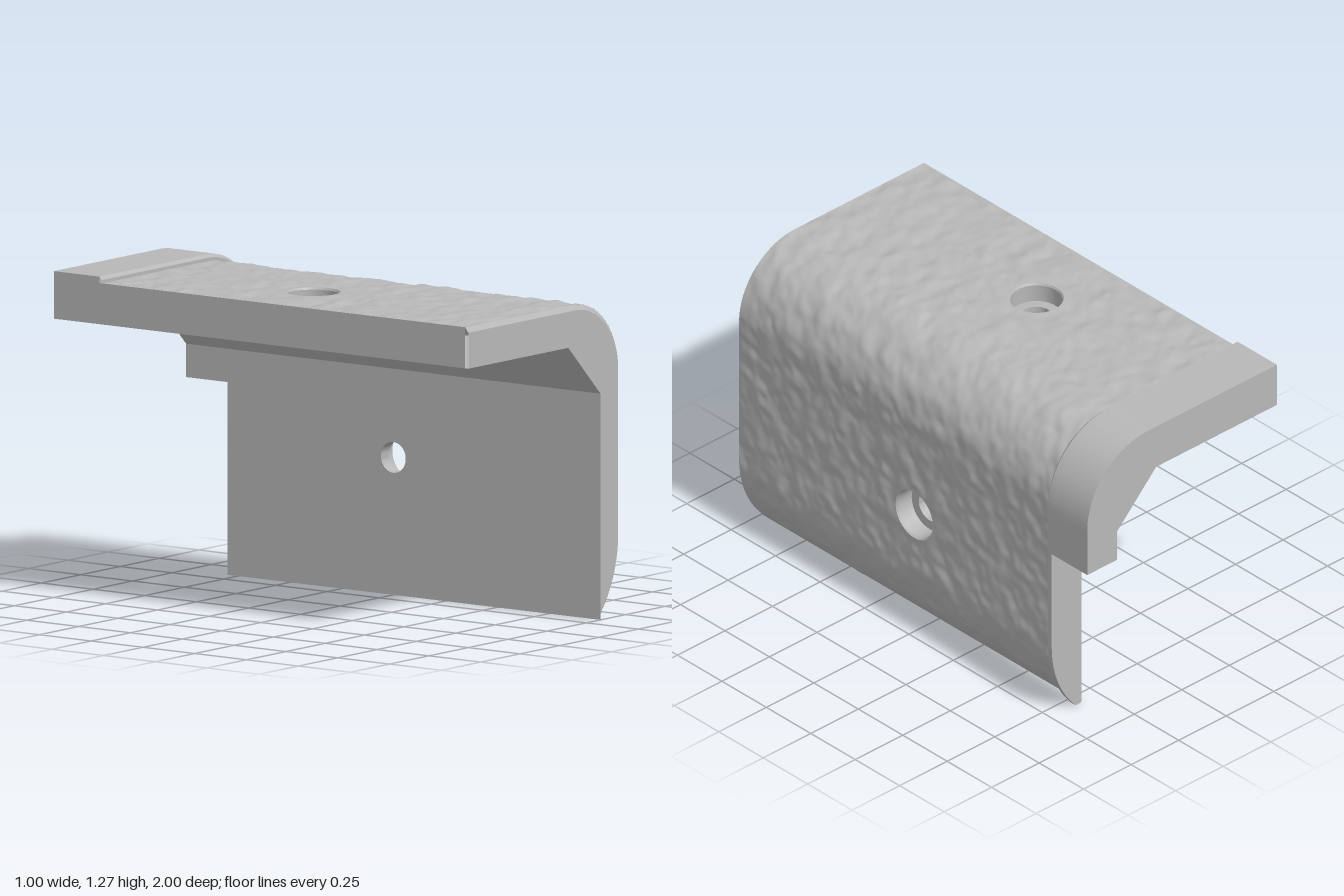
import * as THREE from 'three';
import { toCreasedNormals } from 'three/addons/utils/BufferGeometryUtils.js';

const grey = new THREE.MeshStandardMaterial({ color: 0xb8b8b8, side: THREE.DoubleSide });
grey.name = 'grey';

// Outer outline: top flat, round corner, side flat, curved lower edge
const R1 = 0.317, R2 = 0.472, SKIN = 0.025, EDGE = 0.045;
const TOP = 0.68, CORNER = (R1 - SKIN) * Math.PI / 2, SIDE = 0.633;
const FOOT = (R2 - SKIN) * Math.asin(0.32 / (R2 - SKIN));
const S1 = TOP, S2 = S1 + CORNER, S3 = S2 + SIDE, S4 = S3 + FOOT;

// Point and normal at distance s along the outline, moved inward by off
function outline(s, off) {
  if (s <= S1) return { x: -0.5 + s, y: 0.953 + R1 - off, nx: 0, ny: 1 };
  if (s <= S2) {
    const a = Math.PI / 2 * (1 - (s - S1) / CORNER), c = Math.cos(a), n = Math.sin(a);
    return { x: 0.18 + (R1 - off) * c, y: 0.953 + (R1 - off) * n, nx: c, ny: n };
  }
  if (s <= S3) return { x: 0.18 + R1 - off, y: 0.953 - (s - S2), nx: 1, ny: 0 };
  const r = R2 - off, a = (s - S3) / FOOT * Math.asin(0.32 / r);
  return { x: Math.max(0.34, 0.025 + r * Math.cos(a)), y: Math.max(0, 0.32 - r * Math.sin(a)),
    nx: Math.cos(a), ny: -Math.sin(a) };
}

// Evenly divided values that keep every break point
function ticks(breaks, step) {
  const out = [breaks[0]];
  for (let i = 1; i < breaks.length; i++) {
    const a = breaks[i - 1], b = breaks[i], n = Math.max(1, Math.round((b - a) / step));
    for (let k = 1; k <= n; k++) out.push(a + (b - a) * k / n);
  }
  return out;
}

// Closed cross-section of the angle
function profile(off, sEnd) {
  const pts = ticks([0, S1, S2, S3, S4].filter(s => s < sEnd).concat(sEnd), 0.025)
    .map(s => outline(s, off)).map(p => new THREE.Vector2(p.x, p.y));
  const low = pts[pts.length - 1].y;
  pts.push(new THREE.Vector2(0.34, low), new THREE.Vector2(0.34, 0.88),
    new THREE.Vector2(0.135, 1.085), new THREE.Vector2(-0.5, 1.085));
  return new THREE.Shape(pts);
}

// Grid surface from a point rule, leaving out cells where skip is true
function grid(ss, zs, point, skip = () => false) {
  const pos = [], idx = [], n = zs.length;
  ss.forEach(s => zs.forEach(z => pos.push(...point(s, z))));
  for (let i = 0; i < ss.length - 1; i++) for (let j = 0; j < n - 1; j++) {
    if (skip((ss[i] + ss[i + 1]) / 2, (zs[j] + zs[j + 1]) / 2)) continue;
    const a = i * n + j, b = a + 1, c = a + n, d = c + 1;
    idx.push(a, b, c, b, d, c);
  }
  const g = new THREE.BufferGeometry();
  g.setAttribute('position', new THREE.Float32BufferAttribute(pos, 3));
  g.setIndex(idx);
  g.computeVertexNormals();
  return g;
}

// Band along the outline between two depths and two insets
function band(z0, off0, z1, off1) {
  return grid(ticks([0, S1, S2, S3, S4], 0.025), [0, 1], (s, t) => {
    const p = outline(s, t ? off1 : off0);
    return [p.x, p.y, t ? z1 : z0];
  });
}

// Smooth seeded value noise
function hash(i, j) {
  const h = Math.sin(i * 127.1 + j * 311.7) * 43758.5453;
  return h - Math.floor(h);
}
function noise(u, v) {
  const i = Math.floor(u), j = Math.floor(v), e = t => t * t * (3 - 2 * t);
  const a = e(u - i), b = e(v - j), mix = THREE.MathUtils.lerp;
  return mix(mix(hash(i, j), hash(i + 1, j), a), mix(hash(i, j + 1), hash(i + 1, j + 1), a), b) - 0.5;
}

// Bolt holes, as distance along the outline at z = 0
const HOLE = 0.105, BORE = 0.06, HALF = 0.1;
const holes = [0.33, S2 + 0.953 - 0.535];
const reach = (s, z, h) => Math.max(Math.abs(s - h), Math.abs(z));

// Hammered skin, with grid lines drawn round into each hole rim
function hammeredSkin() {
  const Z0 = -0.77, Z1 = 0.985;
  const ss = ticks([0, holes[0] - HALF, holes[0] + HALF, S1, S2, holes[1] - HALF, holes[1] + HALF, S3, S4], 0.0125);
  const zs = ticks([Z0, -HALF, HALF, Z1], 0.0125);
  const point = (s, z) => {
    let fade = Math.min(1, s / 0.02, (S4 - s) / 0.04, (Z1 - z) / 0.02, (z - Z0) / 0.02);
    for (const h of holes) {
      const m = reach(s, z, h);
      if (m > 0.15) continue;
      fade = Math.min(fade, Math.max(0, (m - HALF) / 0.04));
      const ds = s - h, k = (HALF + 0.05 - m) / 0.05, d = Math.hypot(ds, z) || 1;
      if (m < HALF - 1e-6) continue;
      const f = 1 + k * ((m + HOLE - HALF) / d - 1);
      s = h + ds * f;
      z *= f;
      break;
    }
    const p = outline(s, SKIN);
    const bump = Math.max(0, fade) *
      (0.011 * noise(s * 15 + 3, z * 17) + 0.006 * noise(s * 29 + z * 9, z * 31 - s * 8));
    return [p.x + p.nx * bump, p.y + p.ny * bump, z];
  };
  return grid(ss, zs, point, (s, z) => holes.some(h => reach(s, z, h) < HALF));
}

// Flat inner wall with a bolt hole
function innerWall(x0, y0, x1, y1, hx, hy) {
  const s = new THREE.Shape([[x0, y0], [x1, y0], [x1, y1], [x0, y1]].map(p => new THREE.Vector2(...p)));
  s.holes.push(new THREE.Path().absarc(hx, hy, BORE, 0, Math.PI * 2, true));
  return new THREE.ShapeGeometry(s, 24);
}

// Stepped bore, running down from its rim
function bore(depth) {
  const pts = [[HOLE, 0], [0.1, -0.008], [0.1, -0.08], [BORE, -0.08], [BORE, -depth]];
  return toCreasedNormals(new THREE.LatheGeometry(pts.map(p => new THREE.Vector2(...p)), 40), 0.5);
}

function extruded(shape, z0, z1) {
  const g = new THREE.ExtrudeGeometry(shape, { depth: z1 - z0, bevelEnabled: false });
  return toCreasedNormals(g.translate(0, 0, z0), 0.4);
}

export function createModel() {
  const model = new THREE.Group();
  model.name = 'cornerGuard';
  const add = (name, geometry) => {
    const mesh = new THREE.Mesh(geometry, grey);
    mesh.name = name;
    model.add(mesh);
  };

  // Outer skin and front end
  add('hammeredSkin', hammeredSkin());
  add('frontChamfer', band(0.985, SKIN, 1, EDGE));
  add('frontEnd', new THREE.ShapeGeometry(profile(EDGE, S4)).translate(0, 0, 1));

  // Raised rim and back lip
  add('rim', extruded(profile(0, S4), -0.8, -0.78));
  add('rimChamfer', band(-0.78, 0, -0.767, 0.012));
  add('rimStep', band(-0.767, 0.012, -0.767, 0.032));
  add('backLip', extruded(profile(0, S2 + 0.953 - 0.75), -1, -0.8));

  // Inner walls and the free edge
  add('innerTop', innerWall(-0.5, -0.8, 0.135, 1, -0.17, 0).rotateX(Math.PI / 2).translate(0, 1.085, 0));
  add('innerSide', innerWall(-0.8, 0, 1, 0.88, 0, 0.535).rotateY(-Math.PI / 2).translate(0.34, 0, 0));
  add('innerSlope', new THREE.PlaneGeometry(1.8, Math.hypot(0.205, 0.205))
    .rotateY(-Math.PI / 2).rotateZ(Math.PI / 4).translate(0.2375, 0.9825, 0.1));
  add('freeEdge', new THREE.PlaneGeometry(1.785, 0.16)
    .rotateY(-Math.PI / 2).translate(-0.5, 1.165, 0.0925));

  // Bolt holes
  add('topBore', bore(0.16).translate(-0.17, 1.245, 0));
  add('sideBore', bore(0.132).rotateZ(-Math.PI / 2).translate(0.472, 0.535, 0));
  return model;
}
